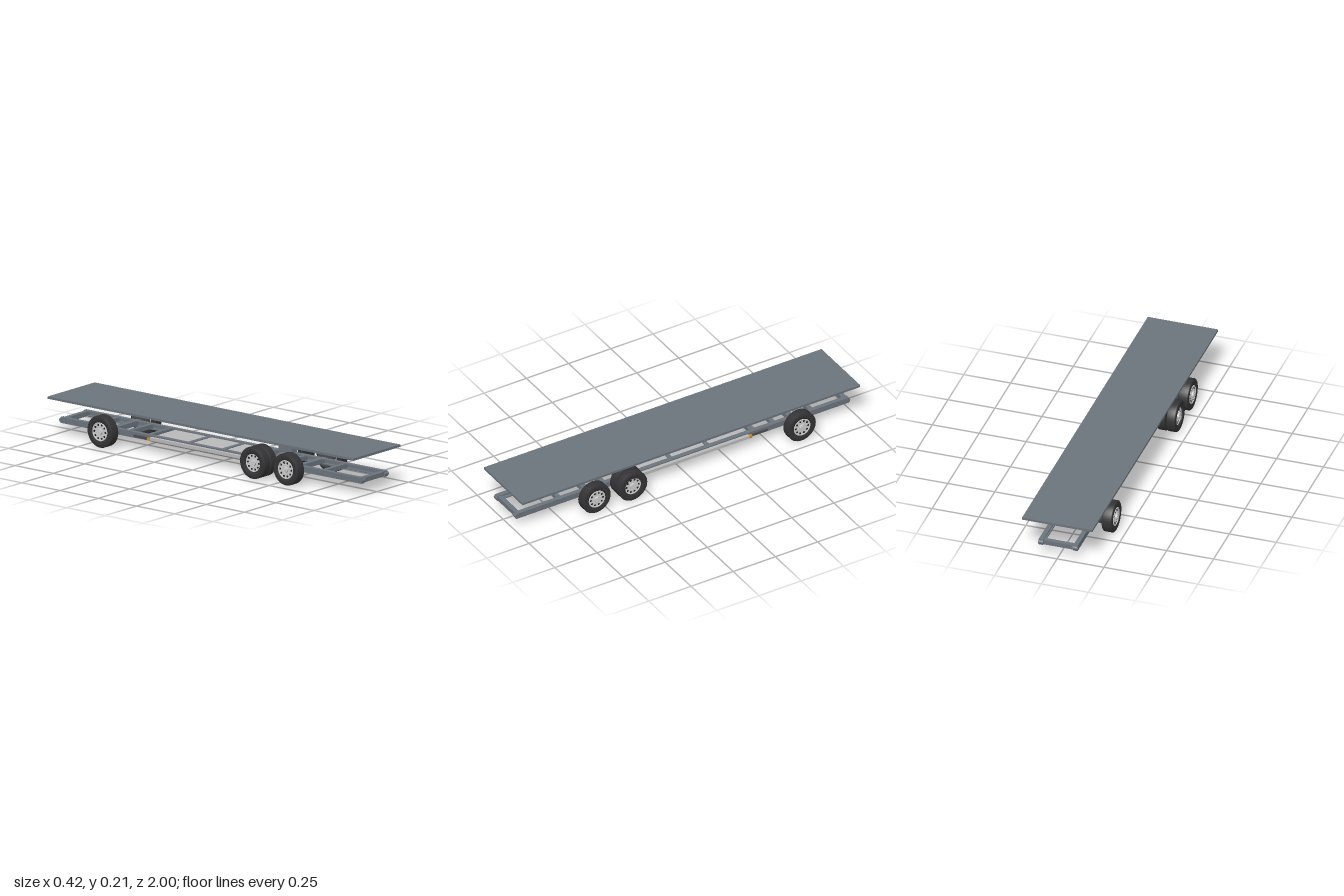
import * as THREE from 'three';

const mat = (color, side = THREE.FrontSide) => new THREE.MeshStandardMaterial({ color, side });
const STEEL = mat(0x6b737c), DARK = mat(0x4a4d52), RUBBER = mat(0x333335, THREE.DoubleSide),
  RIM = mat(0xcccccc), PANEL = mat(0xb8b8b8), AMBER = mat(0xd08a20), HOLE = mat(0x222224);

function add(parent, name, geometry, material, x = 0, y = 0, z = 0) {
  const mesh = new THREE.Mesh(geometry, material);
  mesh.name = name;
  mesh.position.set(x, y, z);
  parent.add(mesh);
  return mesh;
}
const box = (w, h, d) => new THREE.BoxGeometry(w, h, d);
// cylinder lying along x
const disc = (r, len, n = 24) => new THREE.CylinderGeometry(r, r, len, n).rotateZ(-Math.PI / 2);

const R = 0.083;

// Tyre ring along x, centred on its own width
function tyre(width) {
  const h = width / 2;
  const profile = [[0.047, -h + 0.006], [0.052, -h + 0.002], [0.066, -h], [R - 0.005, -h + 0.001], [R, -h + 0.006],
    [R, h - 0.006], [R - 0.005, h - 0.001], [0.066, h], [0.052, h - 0.002], [0.047, h - 0.006], [0.047, -h + 0.006]]
    .map(([r, y]) => new THREE.Vector2(r, y));
  return new THREE.LatheGeometry(profile, 40).rotateZ(-Math.PI / 2);
}

// Wheel facing +x with its outer tyre wall at x = 0
function makeWheel(width, dual) {
  const wheel = new THREE.Group();
  wheel.name = dual ? 'dualWheel' : 'singleWheel';
  add(wheel, 'tyre', tyre(width), RUBBER, -width / 2);
  if (dual) add(wheel, 'innerTyre', tyre(width), RUBBER, -width * 1.5 - 0.004);
  const face = dual ? -0.012 : -0.004;
  add(wheel, 'rimDisc', disc(0.047, 0.03, 32), RIM, face - 0.015);
  if (dual) add(wheel, 'innerRim', disc(0.047, 0.03, 32), RIM, -width * 1.5 - 0.004);
  add(wheel, 'rimLip', new THREE.TorusGeometry(0.046, 0.003, 6, 32).rotateY(Math.PI / 2), RIM, face + 0.001);
  add(wheel, 'hub', disc(0.017, 0.012), RIM, face + 0.004);
  add(wheel, 'hubCap', disc(0.010, 0.006), RIM, face + 0.009);
  for (let i = 0; i < 10; i++) {
    const a = (i / 10) * Math.PI * 2, b = a + Math.PI / 10;
    add(wheel, 'rimHole', disc(0.0055, 0.001, 10), HOLE, face + 0.0004, Math.sin(a) * 0.036, Math.cos(a) * 0.036);
    add(wheel, 'wheelNut', disc(0.0022, 0.006, 6), RIM, face + 0.002, Math.sin(b) * 0.024, Math.cos(b) * 0.024);
  }
  return wheel;
}

// Channel section rail running along z, web on the outer side
function railGeometry(side, length) {
  const w = 0.024, h = 0.015, t = 0.006;
  const pts = [[w, -h], [w, h], [0, h], [0, h - t], [w - t, h - t], [w - t, -h + t], [0, -h + t], [0, -h]];
  const shape = new THREE.Shape(pts.map(([x, y]) => new THREE.Vector2(side * x, y)));
  return new THREE.ExtrudeGeometry(shape, { depth: length, bevelEnabled: false }).translate(0, 0, -length / 2);
}

export function createModel() {
  const model = new THREE.Group();
  model.name = 'truckChassis';

  // Flat load deck
  add(model, 'deck', box(0.374, 0.012, 2), STEEL, 0, 0.203, 0);

  // Ladder frame
  const frame = new THREE.Group();
  frame.name = 'frame';
  model.add(frame);
  for (const s of [-1, 1]) {
    add(frame, 'rail', railGeometry(s, 1.97), STEEL, s * 0.08, 0.073, 0);
    for (const e of [-1, 1]) add(frame, 'railEnd', disc(0.012, 0.026, 16), STEEL, s * 0.092, 0.073, e * 0.98);
  }
  for (const z of [0.97, -0.97]) add(frame, 'endBar', box(0.2, 0.024, 0.025), STEEL, 0, 0.073, z);
  for (const z of [0.72, 0.46, 0.27, 0.06, -0.16, -0.42, -0.55, -0.77])
    add(frame, 'crossMember', box(0.19, 0.022, 0.024), STEEL, 0, 0.075, z);

  // Belly panel with sloping sides between the axles
  const section = new THREE.Shape([[-0.085, 0.053], [0.085, 0.053], [0.108, 0.056], [0.122, 0.066],
    [0.122, 0.082], [-0.122, 0.082], [-0.122, 0.066], [-0.108, 0.056]].map(([x, y]) => new THREE.Vector2(x, y)));
  add(model, 'bellyPanel', new THREE.ExtrudeGeometry(section, { depth: 0.66, bevelEnabled: false }), PANEL, 0, 0, -0.385);

  // Axles, drums, wheels
  const axles = [
    { z: 0.565, dual: false }, { z: 0.35, dual: true }, { z: -0.65, dual: false },
  ];
  for (const { z, dual } of axles) {
    const axle = new THREE.Group();
    axle.name = 'axle';
    axle.position.z = z;
    model.add(axle);
    add(axle, 'axleBeam', box(0.3, 0.025, 0.03), STEEL, 0, 0.075, 0);
    for (const s of [-1, 1]) {
      const wheel = makeWheel(dual ? 0.049 : 0.055, dual);
      wheel.position.set(s * (dual ? 0.203 : 0.2), R, 0);
      if (s < 0) wheel.rotation.y = Math.PI;
      axle.add(wheel);
      if (dual) add(axle, 'suspensionBlock', box(0.038, 0.034, 0.09), STEEL, s * 0.081, 0.101, 0);
      else add(axle, 'brakeDrum', disc(0.046, 0.033), DARK, s * 0.13, R, 0);
    }
  }

  // Side marker lamps behind the belly panel
  for (const s of [-1, 1]) {
    add(model, 'markerLamp', box(0.014, 0.014, 0.018), AMBER, s * 0.113, 0.07, -0.395);
    add(model, 'lampBracket', box(0.008, 0.012, 0.1), DARK, s * 0.107, 0.07, -0.45);
  }
  return model;
}
